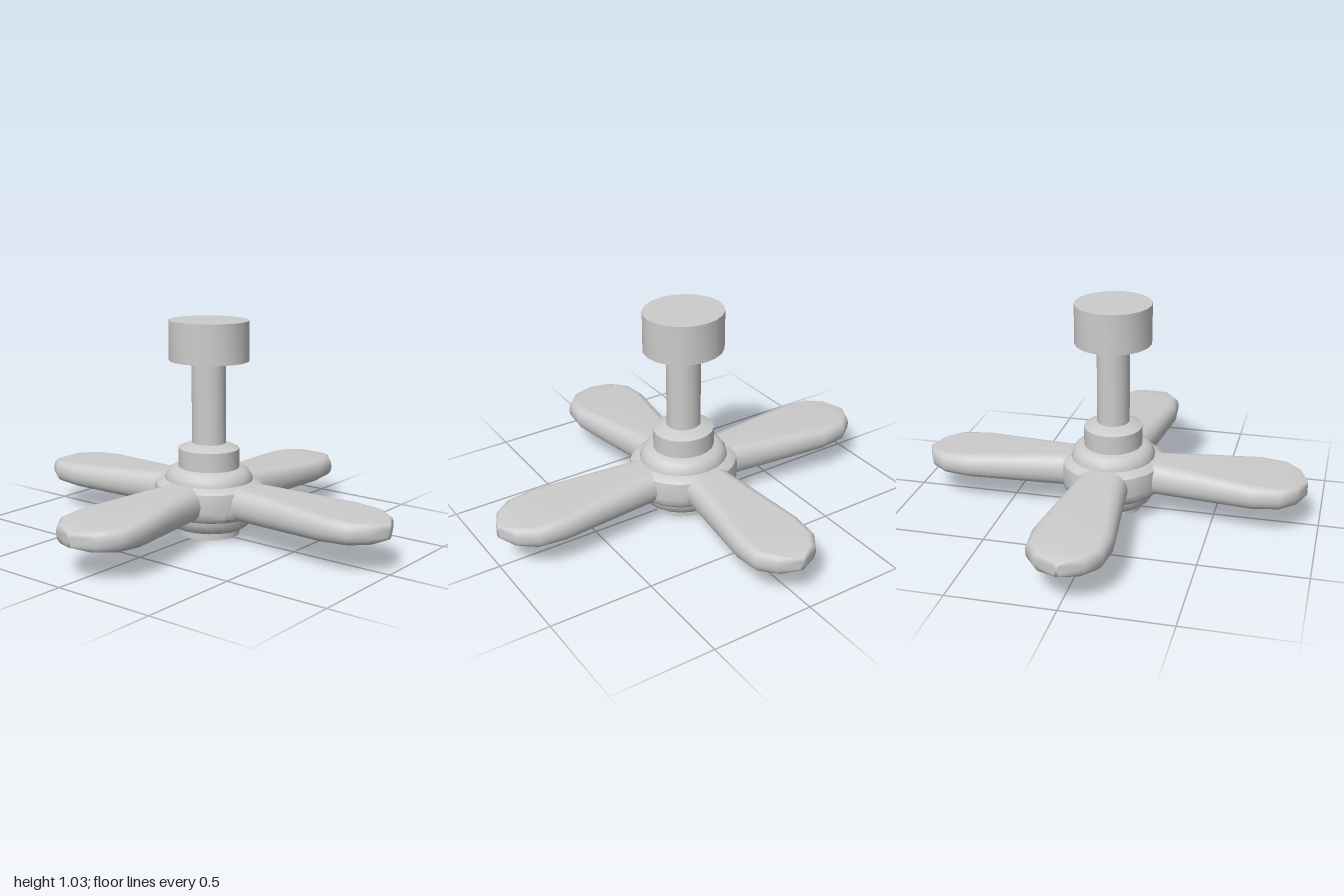
import * as THREE from 'three';
import { toCreasedNormals } from 'three/addons/utils/BufferGeometryUtils.js';

const grey = new THREE.MeshStandardMaterial({ color: 0xcccccc });
const DEPTH = 1.07; // round parts are slightly deeper than wide
const BLADE_Y = 0.19;

function turned(name, profile, sides = 20) {
  const points = profile.map(([r, y]) => new THREE.Vector2(r, y));
  const geometry = new THREE.LatheGeometry(points, sides);
  geometry.scale(1, 1, DEPTH);
  const mesh = new THREE.Mesh(toCreasedNormals(geometry, 0.7), grey);
  mesh.name = name;
  return mesh;
}

// Rounded-rectangle section, half width w and half height h, as [z, y] points
function roundedSection(w, h) {
  const r = Math.min(h * 0.85, w * 0.9);
  const points = [];
  for (let corner = 0; corner < 4; corner++) {
    const sz = corner === 0 || corner === 3 ? 1 : -1;
    const sy = corner < 2 ? 1 : -1;
    for (let k = 0; k < 5; k++) {
      const a = (corner + k / 4) * Math.PI / 2;
      points.push([sz * (w - r) + r * Math.cos(a), sy * (h - r) + r * Math.sin(a)]);
    }
  }
  return points;
}

// Paddle blade along +x, lofted through sections and closed at the tip
function bladeGeometry(length, width, shift) {
  const stations = [ // distance, half width, half height, share of sideways shift
    [0.1, 0.14, 0.082, 0],
    [0.24, 0.121, 0.079, 0],
    [0.5 * length, 0.121 + (width - 0.121) * 0.52, 0.069, 0.5],
    [0.74 * length, width, 0.059, 1],
    [0.875 * length, width * 0.93, 0.052, 1],
    [0.955 * length, width * 0.61, 0.045, 0.5],
    [length, 0.015, 0.031, 0],
  ];
  const positions = [], index = [];
  const n = 20;
  stations.forEach(([x, w, h, s]) => {
    for (const [z, y] of roundedSection(w, h)) positions.push(x, y, z + s * shift);
  });
  for (let i = 0; i < stations.length - 1; i++) {
    for (let j = 0; j < n; j++) {
      const k = (j + 1) % n;
      const a = i * n + j, b = a + n, c = (i + 1) * n + k, d = i * n + k;
      index.push(a, b, c, a, c, d);
    }
  }
  const centre = positions.length / 3, last = centre - n;
  positions.push(length, 0, 0);
  for (let j = 0; j < n; j++) index.push(centre, last + (j + 1) % n, last + j);
  const geometry = new THREE.BufferGeometry();
  geometry.setAttribute('position', new THREE.Float32BufferAttribute(positions, 3));
  geometry.setIndex(index);
  geometry.computeVertexNormals();
  return geometry;
}

export function createModel() {
  const model = new THREE.Group();
  model.name = 'ceilingFan';

  // Mount, rod and motor housing
  model.add(turned('ceilingMount', [[0, 0.84], [0.182, 0.84], [0.182, 1.03], [0, 1.03]]));
  model.add(turned('downRod', [[0.078, 0.42], [0.078, 0.85]]));
  model.add(turned('collar', [[0.14, 0.31], [0.14, 0.42], [0.085, 0.445], [0, 0.445]]));
  model.add(turned('motorHousing', [
    [0, 0.04], [0.17, 0.04], [0.188, 0.055], [0.2, 0.085], [0.205, 0.11],
    [0.203, 0.27], [0.196, 0.295], [0.182, 0.315], [0.16, 0.328], [0, 0.33],
  ]));
  // Wider band that carries the blades
  model.add(turned('bladeRing', [
    [0.19, 0.103], [0.225, 0.108], [0.246, 0.13], [0.25, 0.16],
    [0.25, 0.22], [0.246, 0.248], [0.225, 0.266], [0.19, 0.272],
  ]));
  model.add(turned('bottomCap', [[0, 0], [0.143, 0], [0.143, 0.045]]));

  // Four blades: length, half width, sideways shift
  [[0.938, 0.177, 0.008], [0.993, 0.178, -0.002], [0.938, 0.202, -0.007], [1, 0.183, 0.002]]
    .forEach(([length, width, shift], i) => {
      const blade = new THREE.Mesh(bladeGeometry(length, width, shift), grey);
      blade.name = `blade${i + 1}`;
      blade.position.y = BLADE_Y;
      blade.rotation.y = -i * Math.PI / 2;
      model.add(blade);
    });

  return model;
}
